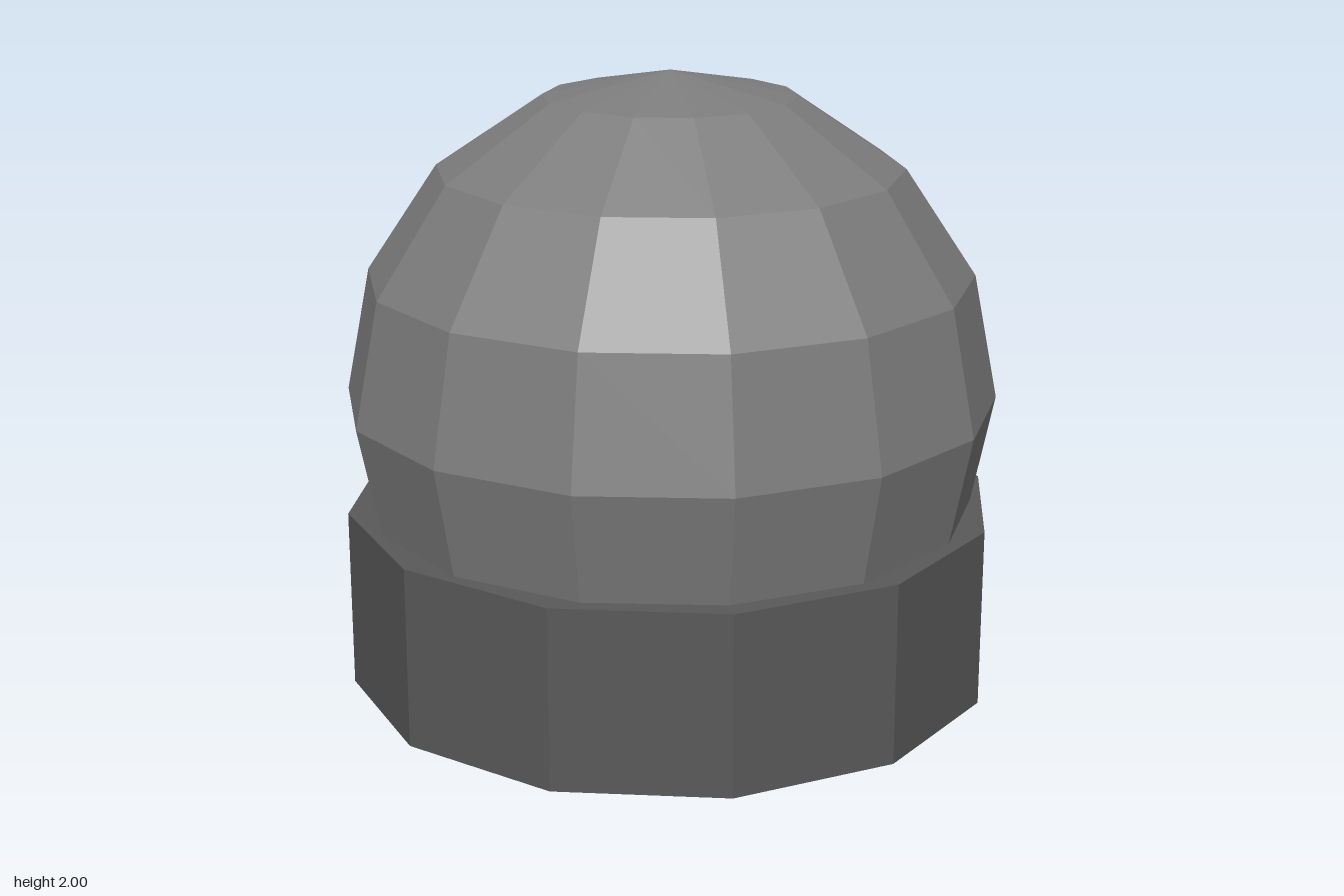
import * as THREE from 'three';

export function createModel() {
  const group = new THREE.Group();

  const addPart = (name, geometry, color, y) => {
    const material = new THREE.MeshStandardMaterial({ color, flatShading: true });
    const mesh = new THREE.Mesh(geometry, material);
    mesh.name = name;
    mesh.position.y = y;
    group.add(mesh);
  };

  // Faceted ball, turned so that corners point to the front and back
  addPart('ball', new THREE.SphereGeometry(1, 14, 8).rotateY(Math.PI / 2), 0x7d7d7d, 1);

  // Darker twelve-sided base ring around the lower part of the ball
  const bottom = 0.11, top = 0.665;
  addPart('base', new THREE.CylinderGeometry(1, 1, top - bottom, 12), 0x595959, (top + bottom) / 2);

  return group;
}
